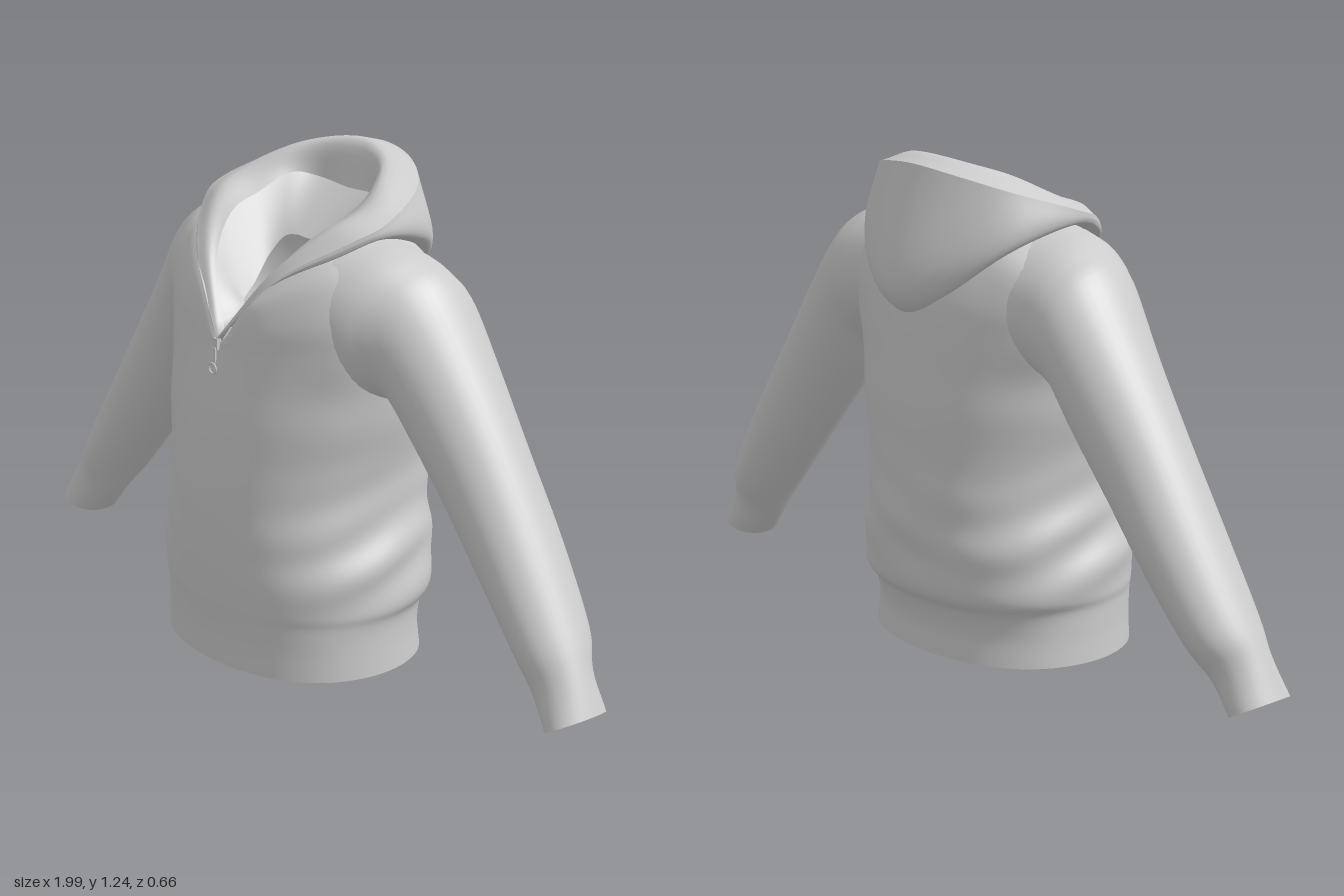
import * as THREE from 'three';

const V = (x, y, z) => new THREE.Vector3(x, y, z);
const cloth = new THREE.MeshStandardMaterial({ color: 0xcccccc, side: THREE.DoubleSide });
const KEYS = 12;

// Smooth surface through a list of rings, each made of KEYS control points.
// sharp leaves a crease where a ring starts (the V at the front); hole(p) leaves faces out.
function loft(name, rings, { sharp = false, around = 72, steps = 5, warp, hole } = {}) {
  const curves = rings.map((r) => new THREE.CatmullRomCurve3(
    sharp ? [...r, r[0]] : r, !sharp, 'catmullrom', 0.5));
  const rows = (rings.length - 1) * steps;
  const pos = [], index = [];
  const columns = [];
  for (let i = 0; i < around; i++) {
    const line = new THREE.CatmullRomCurve3(curves.map((c) => c.getPoint(i / around)), false, 'catmullrom', 0.5);
    columns.push(line.getPoints(rows));
  }
  for (let j = 0; j <= rows; j++) {
    for (let i = 0; i < around; i++) {
      const p = columns[i][j];
      if (warp) warp(p, (i / around) * Math.PI * 2);
      pos.push(p.x, p.y, p.z);
      if (j === rows || (hole && hole(p))) continue;
      const a = j * around + i, b = j * around + (i + 1) % around;
      index.push(a, b, b + around, a, b + around, a + around);
    }
  }
  const geo = new THREE.BufferGeometry();
  geo.setAttribute('position', new THREE.Float32BufferAttribute(pos, 3));
  geo.setIndex(index);
  geo.computeVertexNormals();
  const mesh = new THREE.Mesh(geo, cloth);
  mesh.name = name;
  return mesh;
}

// Level ring of the body: height, half width, front z, back z
function bodyRing([y, w, front, back]) {
  const mid = (front + back) / 2, d = (front - back) / 2;
  return Array.from({ length: KEYS }, (_, i) => {
    const a = (i / KEYS) * Math.PI * 2, s = Math.sin(a), c = Math.cos(a);
    return V(w * Math.sign(s) * Math.abs(s) ** 0.92, y, mid + d * Math.sign(c) * Math.abs(c) ** 0.92);
  });
}

// Ring from seven points running front, left side, back; the right is mirrored
function mirrorRing(half) {
  const left = half.map((p) => V(...p));
  const right = left.slice(1, -1).reverse().map((p) => V(-p.x, p.y, p.z));
  return [...left, ...right];
}

// Sleeve ring from its upper and lower point in the front plane, z centre, z radius,
// and how far its front and back reach in towards the chest
function sleeveRing([tx, ty, bx, by, z, r, reach = 0]) {
  return Array.from({ length: KEYS }, (_, i) => {
    const a = (i / KEYS) * Math.PI * 2, c = Math.cos(a) / 2, s = Math.sin(a);
    return V((tx + bx) / 2 + (tx - bx) * c - reach * s * s, (ty + by) / 2 + (ty - by) * c, z + r * s);
  });
}

// Uneven slanting folds above the hem: none at the front, most at the sides
function bodyFolds(p, a) {
  const band = Math.exp(-(((p.y - 0.33) / 0.14) ** 2));
  const side = 0.06 + 0.94 * Math.sin(a) ** 4 + 0.35 * Math.max(0, -Math.cos(a));
  const wave = Math.sin(p.y * 46 + 3 * Math.sin(a * 2 + 0.5) + a) + 0.5 * Math.sin(p.y * 29 - 5 * a);
  const f = 0.007 * band * side * wave;
  p.x += f * Math.sin(a);
  p.z += f * Math.cos(a);
}

// Opening in the body wall behind each sleeve
const armhole = (p) => Math.abs(p.x) > 0.2 && ((p.y - 0.89) / 0.13) ** 2 + (p.z / 0.13) ** 2 < 1;

function makeBody() {
  const rings = [
    [0.01, 0.345, 0.31, -0.235], [0.08, 0.34, 0.31, -0.23], [0.14, 0.34, 0.315, -0.245],
    [0.18, 0.35, 0.32, -0.272], [0.26, 0.347, 0.325, -0.28], [0.34, 0.327, 0.328, -0.288],
    [0.44, 0.308, 0.328, -0.288], [0.54, 0.315, 0.32, -0.285], [0.64, 0.335, 0.308, -0.283],
    [0.73, 0.345, 0.291, -0.275],
  ].map(bodyRing);
  // Chest, shoulders and neck edge, dipping to a V at the front
  rings.push(...[
    [[0, 0.79, 0.277], [0.18, 0.82, 0.245], [0.32, 0.83, 0.15], [0.355, 0.83, 0], [0.33, 0.83, -0.14], [0.19, 0.83, -0.235], [0, 0.83, -0.265]],
    [[0, 0.808, 0.272], [0.16, 0.88, 0.245], [0.315, 0.92, 0.15], [0.36, 0.92, 0], [0.32, 0.92, -0.15], [0.19, 0.92, -0.225], [0, 0.92, -0.25]],
    [[0, 0.818, 0.27], [0.12, 0.93, 0.24], [0.27, 1.01, 0.14], [0.33, 1.03, 0], [0.29, 1.01, -0.14], [0.17, 1.01, -0.195], [0, 1.0, -0.215]],
    [[0, 0.825, 0.265], [0.08, 0.935, 0.235], [0.17, 1.05, 0.13], [0.21, 1.09, 0], [0.18, 1.09, -0.1], [0.1, 1.09, -0.15], [0, 1.09, -0.16]],
  ].map(mirrorRing));
  return loft('body', rings, { around: 96, steps: 6, warp: bodyFolds, hole: armhole });
}

// The sleeve flares into the chest and shoulder blade so the armhole reads as one surface
function makeSleeve(side) {
  const rings = [
    [0.25, 1.08, 0.32, 0.72, -0.003, 0.195, 0.055],
    [0.32, 1.068, 0.335, 0.71, -0.014, 0.18, 0.015],
    [0.38, 1.042, 0.345, 0.705, -0.03, 0.165],
    [0.445, 0.993, 0.37, 0.69, -0.042, 0.152],
    [0.55, 0.845, 0.43, 0.605, -0.05, 0.136],
    [0.67, 0.665, 0.535, 0.475, -0.052, 0.122],
    [0.79, 0.475, 0.66, 0.325, -0.052, 0.115],
    [0.905, 0.285, 0.77, 0.195, -0.045, 0.102],
    [0.95, 0.2, 0.83, 0.12, -0.032, 0.078],
    [0.995, 0.108, 0.89, 0.05, -0.025, 0.085],
  ].map(sleeveRing);
  const mesh = loft(side > 0 ? 'leftSleeve' : 'rightSleeve', rings, { around: 40 });
  mesh.scale.x = side;
  return mesh;
}

function makeHood() {
  const hood = new THREE.Group();
  hood.name = 'hood';
  // Bag: underside, hanging edge, bulge, rim
  const bag = [
    [[0, 0.82, 0.262], [0.08, 0.935, 0.235], [0.17, 1.045, 0.13], [0.22, 1.075, 0], [0.2, 1.04, -0.13], [0.1, 0.95, -0.21], [0, 0.9, -0.245]],
    [[0, 0.825, 0.272], [0.12, 0.97, 0.228], [0.245, 1.055, 0.115], [0.285, 1.09, 0], [0.245, 1.04, -0.17], [0.125, 0.935, -0.26], [0, 0.877, -0.285]],
    [[0, 0.828, 0.275], [0.14, 0.985, 0.222], [0.262, 1.072, 0.11], [0.3, 1.105, 0], [0.26, 1.09, -0.165], [0.14, 1.015, -0.275], [0, 0.97, -0.327]],
    [[0, 0.832, 0.276], [0.15, 1.0, 0.213], [0.268, 1.09, 0.1], [0.298, 1.13, 0], [0.24, 1.18, -0.145], [0.13, 1.215, -0.225], [0, 1.23, -0.25]],
  ].map(mirrorRing);
  const crest = mirrorRing([[0, 0.838, 0.268], [0.12, 1.005, 0.207], [0.21, 1.11, 0.105], [0.225, 1.155, 0], [0.175, 1.205, -0.09], [0.1, 1.23, -0.15], [0, 1.24, -0.175]]);
  const lip = mirrorRing([[0, 0.842, 0.25], [0.095, 0.985, 0.2], [0.15, 1.08, 0.11], [0.157, 1.115, 0.015], [0.145, 1.15, -0.075], [0.1, 1.14, -0.128], [0, 1.132, -0.135]]);
  const neck = mirrorRing([[0, 0.89, 0.16], [0.042, 0.892, 0.158], [0.055, 0.93, 0.11], [0.072, 0.98, 0.055], [0.066, 1.02, 0.012], [0.035, 1.03, 0], [0, 1.03, 0]]);

  // Separate pieces keep the rim and neckline crisp; the lining ends in an open neck
  hood.add(
    loft('hoodBag', bag, { sharp: true }),
    loft('hoodRoll', [bag[3], crest, lip], { sharp: true }),
    loft('hoodLining', [lip, neck], { sharp: true }),
  );
  return hood;
}

function makeZip() {
  const zip = new THREE.Group();
  zip.name = 'zipPull';
  const add = (name, geo, y, z) => {
    const mesh = new THREE.Mesh(geo, cloth);
    mesh.name = name;
    mesh.position.set(0, y, z);
    zip.add(mesh);
  };
  add('zipSlider', new THREE.BoxGeometry(0.014, 0.028, 0.012), 0.818, 0.273);
  add('zipBar', new THREE.BoxGeometry(0.007, 0.038, 0.004), 0.79, 0.281);
  add('zipRing', new THREE.TorusGeometry(0.013, 0.0022, 8, 24), 0.759, 0.288);
  return zip;
}

export function createModel() {
  const model = new THREE.Group();
  model.name = 'hoodedTop';
  model.add(makeBody(), makeSleeve(1), makeSleeve(-1), makeHood(), makeZip());
  return model;
}
